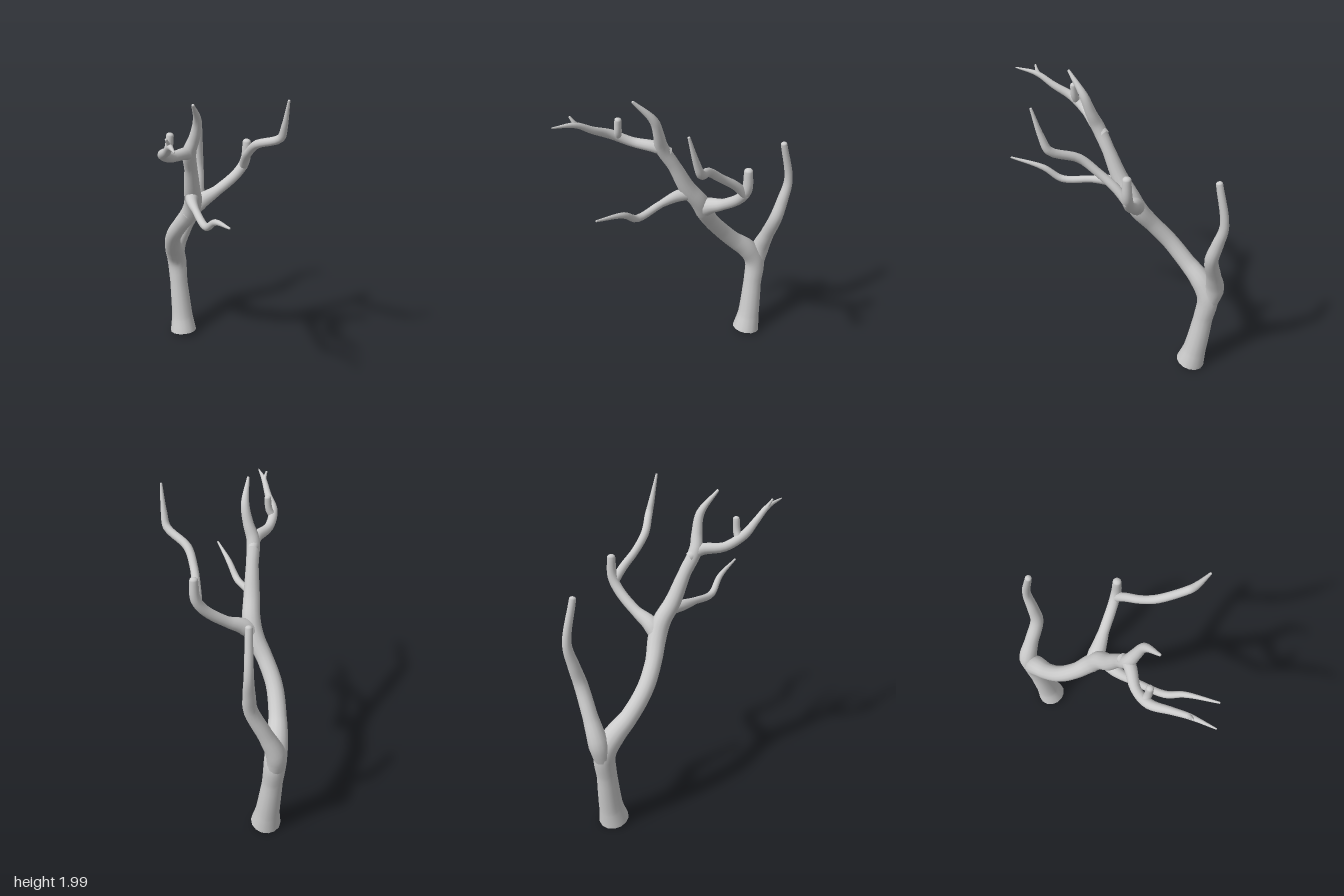
import * as THREE from 'three';

const SIDES = 14;
const material = new THREE.MeshStandardMaterial({ color: 0xcccccc, side: THREE.DoubleSide });

// Tapered, smooth limb through points [x, y, z, radius]; the far end closes in a dome.
function limb(name, pts) {
  const curve = new THREE.CatmullRomCurve3(pts.map(p => new THREE.Vector3(p[0], p[1], p[2])), false, 'centripetal');
  const n = (pts.length - 1) * 5;
  const rings = [];
  for (let i = 0; i <= n; i++) {
    const t = i / n, f = t * (pts.length - 1);
    const k = Math.min(Math.floor(f), pts.length - 2);
    const r = THREE.MathUtils.lerp(pts[k][3], pts[k + 1][3], f - k);
    rings.push({ c: curve.getPoint(t), d: curve.getTangent(t), r });
  }
  // domed tip
  const end = rings[n];
  for (let j = 1; j <= 4; j++) {
    const a = j / 4 * Math.PI / 2;
    rings.push({
      c: end.c.clone().addScaledVector(end.d, Math.sin(a) * end.r * 0.7),
      d: end.d,
      r: Math.max(Math.cos(a) * end.r, 1e-4),
    });
  }
  // sweep the rings, carrying one side vector along to avoid twist
  const pos = [], idx = [];
  const u = new THREE.Vector3(1, 0, 0), v = new THREE.Vector3();
  if (Math.abs(rings[0].d.x) > 0.8) u.set(0, 0, 1);
  rings.forEach(({ c, d, r }, i) => {
    u.addScaledVector(d, -u.dot(d)).normalize();
    v.crossVectors(d, u);
    for (let s = 0; s < SIDES; s++) {
      const a = s / SIDES * Math.PI * 2;
      const p = c.clone().addScaledVector(u, Math.cos(a) * r).addScaledVector(v, Math.sin(a) * r);
      pos.push(p.x, p.y, p.z);
      if (i === 0) continue;
      const q = (s + 1) % SIDES, lo = (i - 1) * SIDES, hi = i * SIDES;
      idx.push(lo + s, lo + q, hi + q, lo + s, hi + q, hi + s);
    }
  });
  const geo = new THREE.BufferGeometry();
  geo.setAttribute('position', new THREE.Float32BufferAttribute(pos, 3));
  geo.setIndex(idx);
  geo.computeVertexNormals();
  const mesh = new THREE.Mesh(geo, material);
  mesh.name = name;
  return mesh;
}

export function createModel() {
  const tree = new THREE.Group();
  tree.name = 'bareTree';
  tree.add(
    // flared trunk, open at the cut, running into the forward-leaning limb
    limb('trunkAndMainLimb', [
      [0.07, 0.02, -0.50, 0.095], [0.07, 0.14, -0.524, 0.076], [0.06, 0.4, -0.56, 0.063],
      [0.053, 0.58, -0.578, 0.068], [0.02, 0.69, -0.525, 0.066], [-0.025, 0.79, -0.43, 0.054],
      [-0.055, 0.93, -0.31, 0.051], [-0.04, 1.06, -0.2, 0.05], [-0.01, 1.17, -0.12, 0.056],
      [-0.01, 1.27, -0.065, 0.055], [-0.04, 1.37, 0.0, 0.05], [-0.075, 1.54, 0.075, 0.038],
      [-0.108, 1.67, 0.14, 0.04], [-0.092, 1.76, 0.175, 0.032], [-0.088, 1.87, 0.215, 0.025],
      [-0.147, 1.99, 0.307, 0.008],
    ]),
    // upright limb at the back
    limb('backLimb', [
      [0.055, 0.5, -0.575, 0.055], [0.065, 0.66, -0.615, 0.062], [0.13, 0.82, -0.6, 0.046],
      [0.21, 1.0, -0.575, 0.042], [0.232, 1.13, -0.6, 0.036], [0.246, 1.28, -0.628, 0.027],
      [0.225, 1.54, -0.578, 0.02],
    ]),
    // branch to the left side, ending in an upright stub
    limb('leftBranch', [
      [-0.03, 1.15, -0.12, 0.045], [0.04, 1.235, -0.1, 0.052], [0.16, 1.3, -0.098, 0.033],
      [0.29, 1.4, -0.09, 0.031], [0.34, 1.48, -0.086, 0.031], [0.346, 1.6, -0.084, 0.025],
    ]),
    limb('leftTwig', [
      [0.33, 1.44, -0.09, 0.028], [0.31, 1.52, -0.02, 0.026], [0.288, 1.6, 0.08, 0.024],
      [0.288, 1.68, 0.18, 0.025], [0.36, 1.755, 0.325, 0.024], [0.362, 1.83, 0.36, 0.019],
      [0.355, 1.99, 0.408, 0.007],
    ]),
    // branch to the right side with its fork and stub
    limb('rightBranch', [
      [-0.09, 1.63, 0.1, 0.032], [-0.13, 1.672, 0.155, 0.036], [-0.25, 1.692, 0.23, 0.028],
      [-0.322, 1.75, 0.325, 0.028], [-0.338, 1.81, 0.44, 0.021], [-0.355, 1.87, 0.54, 0.016],
      [-0.378, 1.893, 0.675, 0.004],
    ]),
    limb('rightStub', [
      [-0.31, 1.72, 0.29, 0.022], [-0.285, 1.77, 0.305, 0.022], [-0.275, 1.845, 0.308, 0.02],
    ]),
    limb('rightFork', [
      [-0.35, 1.855, 0.51, 0.012], [-0.36, 1.882, 0.54, 0.011], [-0.378, 1.916, 0.555, 0.006],
    ]),
    // low twig reaching forward
    limb('frontTwig', [
      [-0.025, 1.335, -0.03, 0.042], [-0.065, 1.335, 0.06, 0.035], [-0.085, 1.325, 0.18, 0.022],
      [-0.094, 1.308, 0.365, 0.022], [-0.084, 1.385, 0.475, 0.018], [-0.084, 1.44, 0.67, 0.006],
    ]),
  );
  return tree;
}
